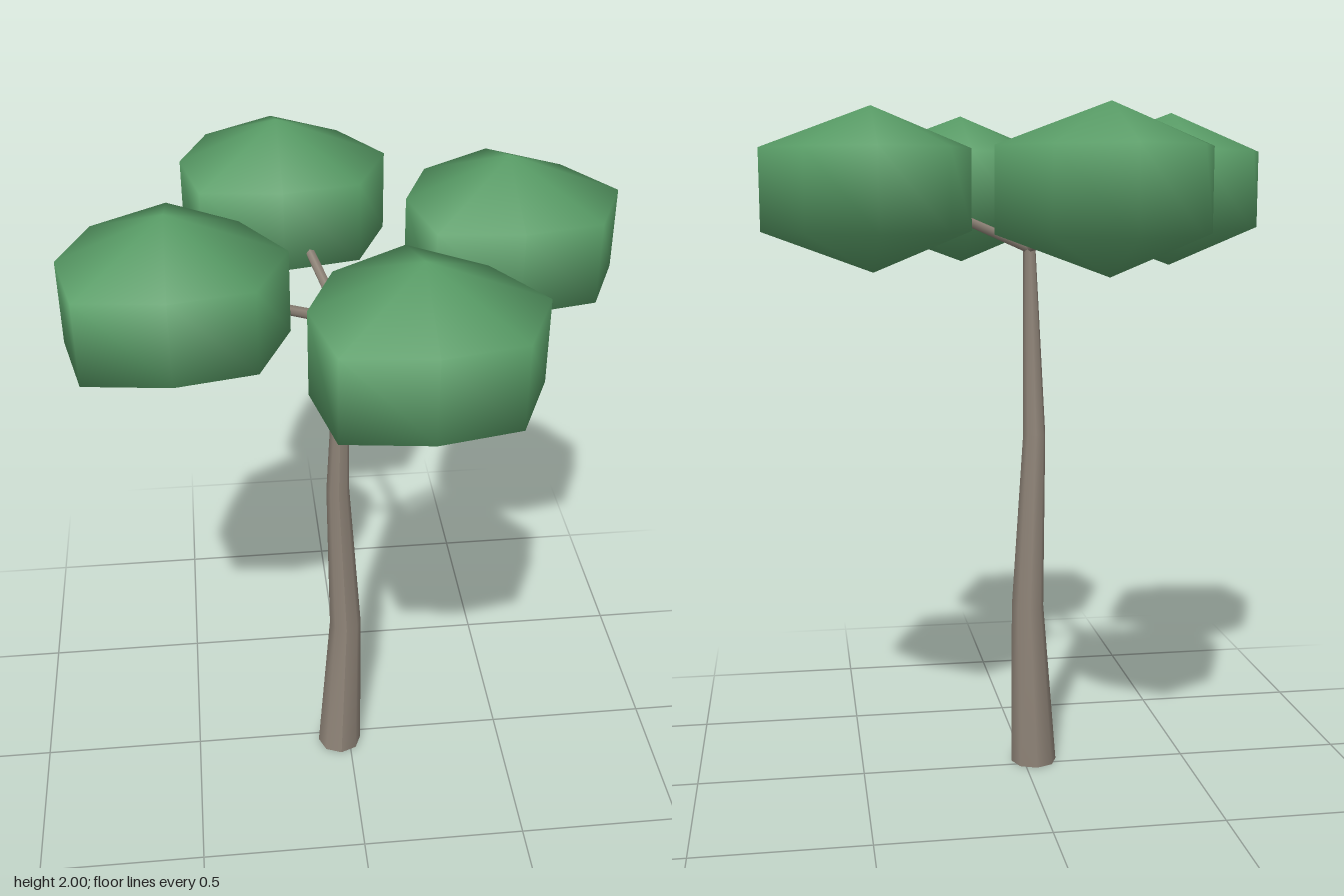
import * as THREE from 'three';
import { mergeVertices } from 'three/addons/utils/BufferGeometryUtils.js';

const bark = new THREE.MeshStandardMaterial({ color: 0x8f8478 });
const leaf = new THREE.MeshStandardMaterial({ color: 0x5a9f68 });

// Join the corners so the shading runs smoothly across the faces
function smooth(geometry) {
  geometry.deleteAttribute('uv');
  geometry.deleteAttribute('normal');
  const merged = mergeVertices(geometry, 1e-4);
  merged.computeVertexNormals();
  return merged;
}

// Leaf clump: an eight-sided ball of two rings, with an uneven outline
function leafClumpGeometry() {
  const outline = [0.28, 0.325, 0.26, 0.305, 0.31, 0.27, 0.33, 0.283]; // from -x, turning through +z
  const geometry = new THREE.SphereGeometry(1, 8, 3);
  const p = geometry.attributes.position;
  for (let i = 0; i < p.count; i++) {
    const x = p.getX(i), y = p.getY(i), z = p.getZ(i);
    const step = Math.round(Math.atan2(z, -x) / (Math.PI / 4));
    const r = outline[(step + 8) % 8] / Math.sin(Math.PI / 3);
    p.setXYZ(i, x * r, y * 0.23, z * r);
  }
  return smooth(geometry);
}

// Trunk: a tapered column whose rings follow a slight bend
function trunkGeometry() {
  // x, y, z, radius of each ring
  const rings = [
    [-0.032, 0.005, 0.03, 0.07],
    [-0.011, 0.51, 0.019, 0.049],
    [-0.035, 1.04, 0.042, 0.034],
    [-0.018, 1.61, 0.032, 0.018],
  ];
  const geometry = new THREE.CylinderGeometry(1, 1, 3, 8, 3);
  const p = geometry.attributes.position;
  for (let i = 0; i < p.count; i++) {
    const [x, y, z, r] = rings[Math.round(p.getY(i) + 1.5)];
    p.setXYZ(i, x + p.getX(i) * r, y, z + p.getZ(i) * r);
  }
  geometry.computeVertexNormals();
  return geometry;
}

// Branch: a thin tapered rod between two points
function makeBranch(from, to) {
  const direction = to.clone().sub(from);
  const geometry = new THREE.CylinderGeometry(0.011, 0.016, direction.length(), 6);
  const branch = new THREE.Mesh(geometry, bark);
  branch.position.copy(from).add(to).multiplyScalar(0.5);
  branch.quaternion.setFromUnitVectors(new THREE.Vector3(0, 1, 0), direction.normalize());
  branch.name = 'branch';
  return branch;
}

export function createModel() {
  const tree = new THREE.Group();
  tree.name = 'tree';

  const trunk = new THREE.Mesh(trunkGeometry(), bark);
  trunk.name = 'trunk';
  tree.add(trunk);

  // Four clumps, each carried by a branch from the top of the trunk
  const fork = new THREE.Vector3(-0.018, 1.6, 0.032);
  const clump = leafClumpGeometry();
  for (const [x, z] of [[0.13, 0.5], [0.45, -0.11], [-0.16, -0.435], [-0.48, 0.175]]) {
    const centre = new THREE.Vector3(x, 1.77, z);
    tree.add(makeBranch(fork, new THREE.Vector3(x, 1.8, z)));
    const leaves = new THREE.Mesh(clump, leaf);
    leaves.position.copy(centre);
    leaves.name = 'leafClump';
    tree.add(leaves);
  }
  return tree;
}
